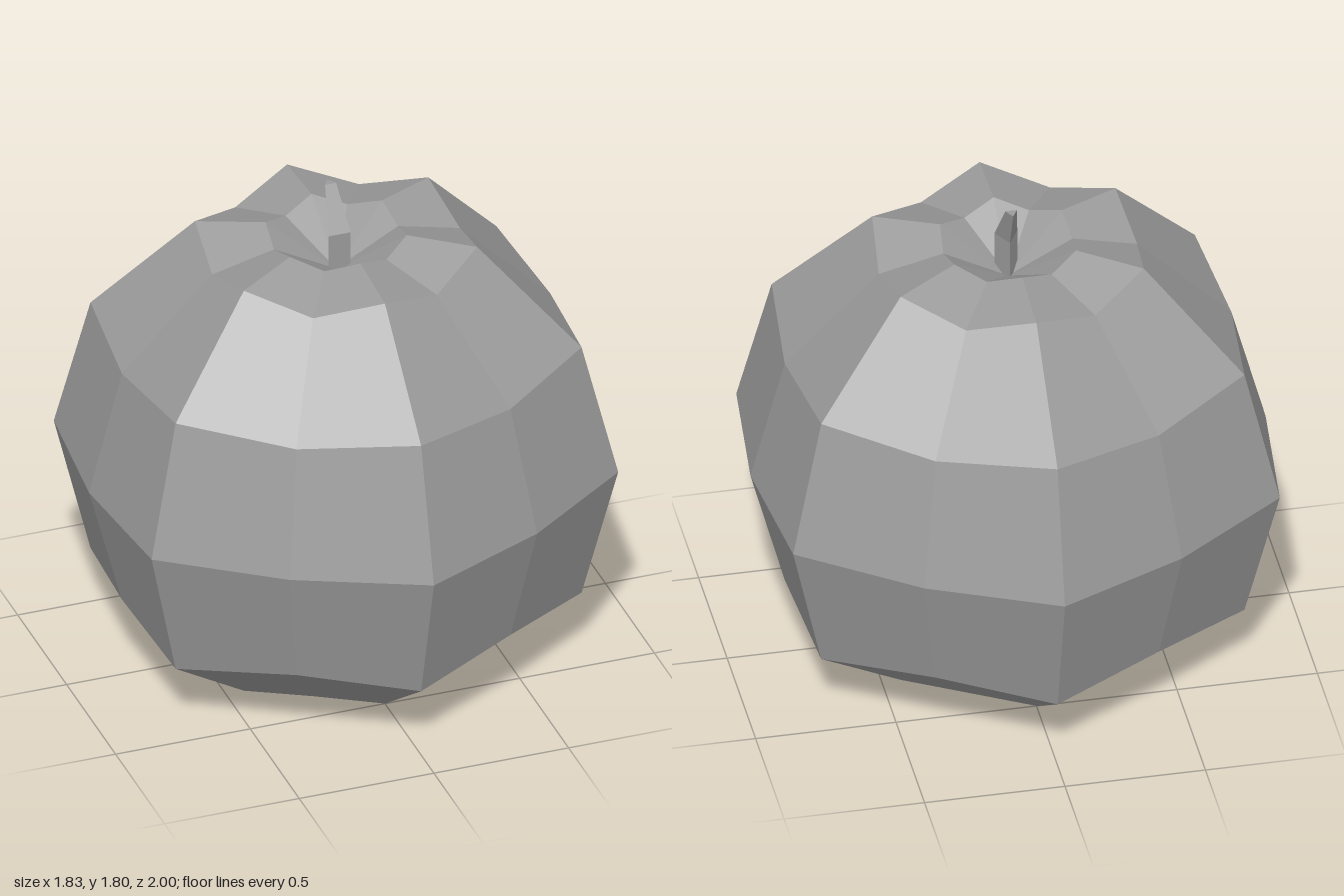
import * as THREE from 'three';

const material = new THREE.MeshStandardMaterial({ color: 0x9b9b9b });

// Skins a stack of closed rings, listed bottom to top, each running from +z towards +x.
// Every four-sided facet gets one flat normal, so its diagonal stays invisible.
function loft(name, rings) {
  const positions = [], normals = [];
  for (let i = 0; i < rings.length - 1; i++) {
    const low = rings[i], high = rings[i + 1], n = low.length;
    for (let k = 0; k < n; k++) {
      const next = (k + 1) % n;
      const [a, b, c, d] = [low[k], low[next], high[next], high[k]];
      const normal = c.clone().sub(a).cross(d.clone().sub(b)).normalize();
      // Facets touching a pole are single triangles
      const corners = [];
      if (a.distanceTo(b) > 1e-6) corners.push(a, b, c);
      if (c.distanceTo(d) > 1e-6) corners.push(a, c, d);
      for (const p of corners) {
        positions.push(p.x, p.y, p.z);
        normals.push(normal.x, normal.y, normal.z);
      }
    }
  }
  const geometry = new THREE.BufferGeometry();
  geometry.setAttribute('position', new THREE.Float32BufferAttribute(positions, 3));
  geometry.setAttribute('normal', new THREE.Float32BufferAttribute(normals, 3));
  const mesh = new THREE.Mesh(geometry, material);
  mesh.name = name;
  return mesh;
}

// Ring of `sides` points; radius and height alternate between two values.
function ring(sides, [r1, y1, r2 = r1, y2 = y1], z = 0, turn = 0) {
  return Array.from({ length: sides }, (_, k) => {
    const angle = turn + (k * Math.PI * 2) / sides;
    const r = k % 2 ? r2 : r1;
    return new THREE.Vector3(r * Math.sin(angle), k % 2 ? y2 : y1, z + r * Math.cos(angle));
  });
}

export function createModel() {
  const group = new THREE.Group();
  group.name = 'pumpkin';

  // Body: six lobes; each row is ridge radius, ridge height, mid radius, mid height
  const profile = [
    [0, 0.09],
    [0.25, 0.02, 0.23, 0.035],
    [0.5, 0, 0.46, 0.02],
    [0.87, 0.26, 0.795, 0.305],
    [1, 0.765, 0.917, 0.765],
    [0.87, 1.26, 0.795, 1.225],
    [0.5, 1.63, 0.46, 1.56],
    [0.25, 1.652, 0.23, 1.615],
    [0, 1.49],
  ];
  group.add(loft('body', profile.map((row) => ring(12, row))));

  // Stem: three-sided, upright at the base, then tapering and leaning back
  const stem = [
    [0.047, 1.45, 0.014],
    [0.047, 1.65, 0.014],
    [0.024, 1.803, -0.067],
    [0, 1.803, -0.067],
  ];
  group.add(loft('stem', stem.map(([r, y, z]) => ring(3, [r, y], z, Math.PI / 3))));

  return group;
}
